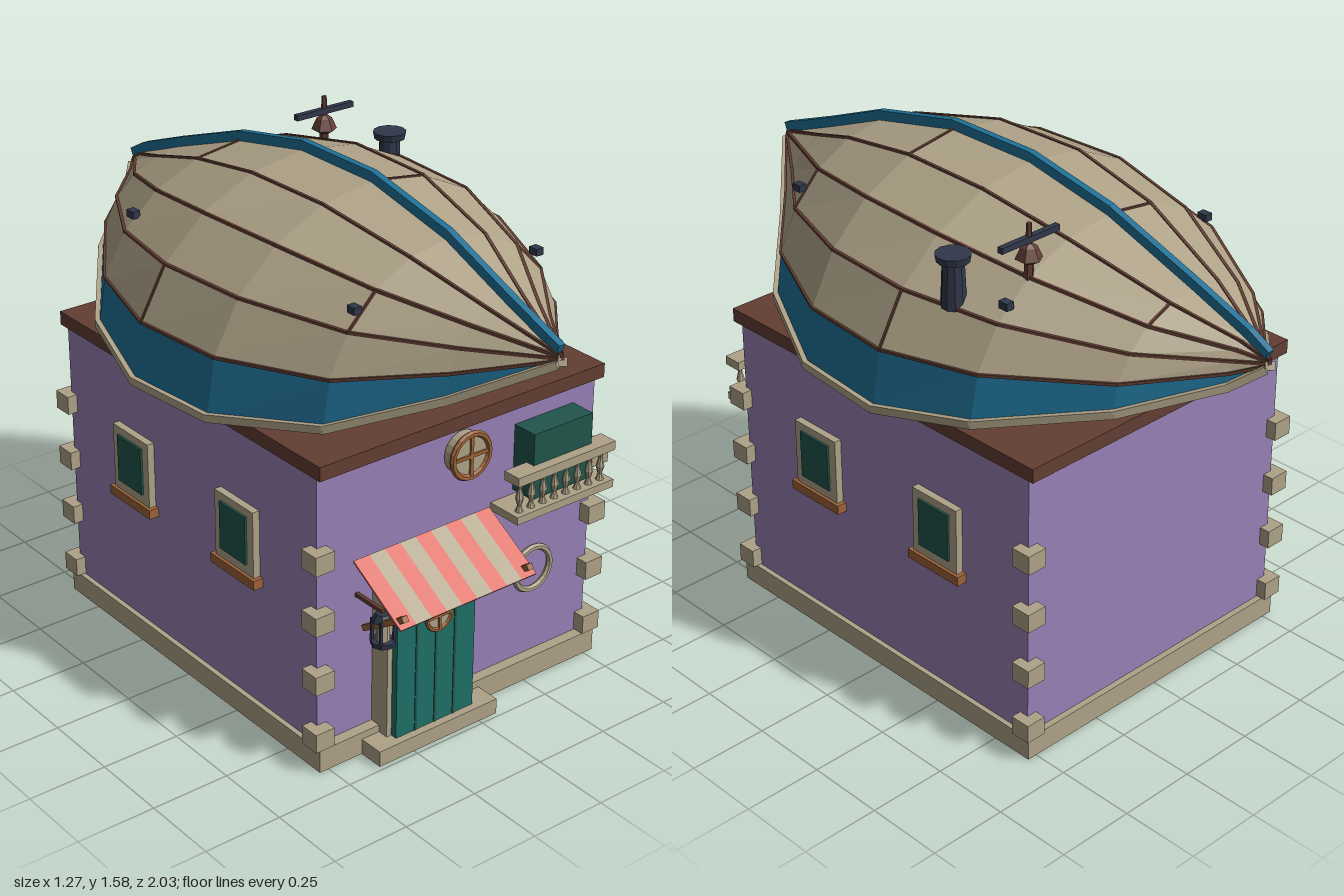
import * as THREE from 'three';

const mat = (name, color) => new THREE.MeshStandardMaterial({ name, color, flatShading: true });

export function createModel() {
  const root = new THREE.Group();
  const M = {
    purple: mat('purple plaster', 0x9880b6),
    stone: mat('pale stone and planks', 0xafa388),
    blue: mat('blue paint', 0x1f7096),
    teal: mat('teal door', 0x1f7068),
    glass: mat('dark teal glass', 0x20554b),
    brown: mat('dark brown wood', 0x633e33),
    wood: mat('orange wood', 0x9c6238),
    red: mat('awning red', 0xdb6a5f),
    iron: mat('dark iron', 0x30374a),
  };
  const add = (name, geo, m, x = 0, y = 0, z = 0) => {
    const mesh = new THREE.Mesh(geo, m);
    mesh.name = name;
    mesh.position.set(x, y, z);
    root.add(mesh);
    return mesh;
  };
  // Box given by its limits on each axis
  const box = (name, m, x0, x1, y0, y1, z0, z1) =>
    add(name, new THREE.BoxGeometry(x1 - x0, y1 - y0, z1 - z0), m, (x0 + x1) / 2, (y0 + y1) / 2, (z0 + z1) / 2);
  // Straight bar between two points
  const bar = (name, m, p, q, w, h, extra = 0) => {
    const a = new THREE.Vector3(...p), b = new THREE.Vector3(...q);
    const mesh = add(name, new THREE.BoxGeometry(w, h, a.distanceTo(b) + extra), m);
    mesh.position.copy(a).add(b).multiplyScalar(0.5);
    mesh.lookAt(b);
    return mesh;
  };
  const disc = (name, m, r, x, y, z0, z1) =>
    add(name, new THREE.CylinderGeometry(r, r, z1 - z0, 20).rotateX(Math.PI / 2), m, x, y, (z0 + z1) / 2);

  // House body
  box('walls', M.purple, -0.517, 0.517, 0, 0.94, -0.62, 0.62);
  box('plinth', M.stone, -0.533, 0.533, 0.002, 0.075, -0.64, 0.655);
  box('doorStep', M.stone, -0.38, 0.065, 0.002, 0.052, 0.6, 0.737);
  box('roofSlab', M.brown, -0.527, 0.527, 0.938, 0.982, -0.645, 0.648);
  for (const x of [-0.517, 0.517]) for (const z of [-0.622, 0.627]) for (const y of [0.108, 0.3, 0.492, 0.686])
    box('cornerStone', M.stone, x - 0.033, x + 0.033, y - 0.03, y + 0.03, z - 0.033, z + 0.033);

  // Side windows
  for (const s of [-1, 1]) for (const z of [0.265, -0.26]) {
    const side = (name, m, a, b, y0, y1, hw) =>
      box(name, m, Math.min(s * a, s * b), Math.max(s * a, s * b), y0, y1, z - hw, z + hw);
    side('windowFrame', M.stone, 0.51, 0.54, 0.5, 0.72, 0.092);
    side('windowPane', M.glass, 0.53, 0.547, 0.54, 0.695, 0.062);
    side('windowSill', M.wood, 0.51, 0.55, 0.477, 0.507, 0.106);
  }

  // Round window with cross bars
  const porthole = (x, y, r, z) => {
    disc('roundPane', M.stone, r * 0.85, x, y, z - 0.04, z);
    add('roundFrame', new THREE.TorusGeometry(r * 0.88, r * 0.13, 6, 20), M.wood, x, y, z);
    box('roundBarUpright', M.wood, x - r * 0.07, x + r * 0.07, y - r * 0.85, y + r * 0.85, z, z + 0.006);
    box('roundBarLevel', M.wood, x - r * 0.85, x + r * 0.85, y - r * 0.07, y + r * 0.07, z, z + 0.006);
  };
  porthole(0, 0.855, 0.077, 0.664);

  // Door
  box('doorFrame', M.stone, -0.317, 0.01, 0.05, 0.6, 0.615, 0.69);
  box('door', M.teal, -0.3, -0.01, 0.052, 0.59, 0.66, 0.712);
  for (const x of [-0.228, -0.156, -0.085])
    box('doorGroove', M.glass, x - 0.004, x + 0.004, 0.052, 0.59, 0.711, 0.714);
  porthole(-0.155, 0.417, 0.052, 0.722);

  // Striped awning and its struts
  for (let i = 0; i < 9; i++) {
    const x = -0.404 + (i + 0.5) * 0.0556;
    bar('awningStripe', i % 2 ? M.stone : M.red, [x, 0.645, 0.64], [x, 0.52, 0.848], 0.0556, 0.006);
  }
  for (const x of [-0.385, 0.075])
    bar('awningStrut', M.wood, [x, 0.55, 0.845], [x, 0.44, 0.67], 0.02, 0.018);

  // Hanging lantern
  const lx = -0.375, lz = 0.738;
  add('lanternBase', new THREE.CylinderGeometry(0.036, 0.036, 0.014, 8), M.iron, lx, 0.422, lz);
  add('lanternLight', new THREE.CylinderGeometry(0.018, 0.02, 0.06, 8), M.stone, lx, 0.455, lz);
  add('lanternCap', new THREE.CylinderGeometry(0.022, 0.036, 0.022, 8), M.iron, lx, 0.505, lz);
  for (const dx of [-1, 1]) for (const dz of [-1, 1])
    box('lanternPost', M.iron, lx + dx * 0.024 - 0.004, lx + dx * 0.024 + 0.004, 0.425, 0.5,
      lz + dz * 0.02 - 0.004, lz + dz * 0.02 + 0.004);
  bar('lanternBracket', M.brown, [lx, 0.52, 0.62], [lx, 0.52, lz], 0.012, 0.012);

  // Balcony with turned balusters
  box('balconyPane', M.glass, 0.205, 0.433, 0.66, 0.872, 0.615, 0.705);
  box('balconyFloor', M.stone, 0.12, 0.5, 0.62, 0.645, 0.615, 0.737);
  box('balconyRail', M.stone, 0.12, 0.5, 0.743, 0.772, 0.675, 0.737);
  const turned = [[0.013, 0], [0.006, 0.02], [0.013, 0.045], [0.006, 0.075], [0.013, 0.1]]
    .map(p => new THREE.Vector2(...p));
  for (let i = 0; i < 8; i++)
    add('baluster', new THREE.LatheGeometry(turned, 8), M.stone, 0.15 + i * 0.0455, 0.644, 0.71);

  // Life ring
  add('lifeRing', new THREE.TorusGeometry(0.07, 0.01, 6, 24), M.stone, 0.288, 0.37, 0.63);

  // Upturned hull: stations [z, half width, keel height, rim height], sections are half ellipses
  const stations = [
    [-1, 0.012, 1.262, 1.235], [-0.93, 0.08, 1.3, 1.18], [-0.73, 0.31, 1.375, 1.105],
    [-0.41, 0.535, 1.487, 1.03], [-0.1, 0.62, 1.547, 0.985], [0.22, 0.592, 1.547, 0.985],
    [0.545, 0.435, 1.477, 1.03], [0.785, 0.205, 1.38, 1.14], [1, 0.012, 1.298, 1.27],
  ];
  const last = stations.length - 1;
  const P = (i, j, shrink = 0) => {
    const [z, w, k, g] = stations[i], a = j * Math.PI / 10;
    return [Math.max(w - shrink, 0.004) * Math.sin(a), g + Math.max(k - g - shrink, 0.01) * Math.cos(a), z];
  };
  const shell = (name, m, bands, shrink, inside) => {
    const pos = [];
    for (const j of bands) for (let i = 0; i < last; i++) {
      const a = P(i, j, shrink), b = P(i + 1, j, shrink), c = P(i + 1, j + 1, shrink), d = P(i, j + 1, shrink);
      const quad = inside ? [a, c, b, a, d, c] : [a, b, c, a, c, d];
      pos.push(...quad.flat());
    }
    const geo = new THREE.BufferGeometry();
    geo.setAttribute('position', new THREE.Float32BufferAttribute(pos, 3));
    geo.computeVertexNormals();
    add(name, geo, m);
  };
  shell('hullPlanks', M.stone, [-4, -3, -2, -1, 0, 1, 2, 3], 0, false);
  shell('hullPaintedBand', M.blue, [-5, 4], 0, false);
  shell('hullInside', M.brown, [-5, -4, -3, -2, -1, 0, 1, 2, 3, 4], 0.018, true);
  for (let i = 0; i < last; i++) {
    for (const j of [-4, -3, -2, -1, 1, 2, 3, 4])
      bar('plankSeam', M.brown, P(i, j), P(i + 1, j), 0.009, 0.009);
    for (const j of [-5, 5]) bar('rim', M.stone, P(i, j), P(i + 1, j), 0.026, 0.024, 0.006);
    const a = P(i, 0), b = P(i + 1, 0);
    a[1] += 0.012; b[1] += 0.012;
    bar('keel', M.blue, a, b, 0.022, 0.034, 0.004);
  }
  for (const [i, j] of [[5, 0], [3, -1], [4, -4], [4, 3], [6, -3], [6, 2], [2, 1]])
    bar('plankJoint', M.brown, P(i, j), P(i, j + 1), 0.008, 0.007);

  // Small plate closing the stern
  const stern = new THREE.Shape();
  stern.absellipse(0, 0, 0.075, 0.11, 0, Math.PI, false);
  add('sternPlate', new THREE.ExtrudeGeometry(stern, { depth: 0.02, bevelEnabled: false, curveSegments: 8 }),
    M.stone, 0, 1.175, -0.93);

  // Cleats on the hull
  for (const s of [-1, 1]) {
    box('cleat', M.iron, s * 0.33 - 0.013, s * 0.33 + 0.013, 1.345, 1.367, 0.53, 0.562);
    box('cleat', M.iron, s * 0.4 - 0.013, s * 0.4 + 0.013, 1.335, 1.358, -0.427, -0.393);
  }

  // Chimney
  add('chimneyPipe', new THREE.CylinderGeometry(0.032, 0.038, 0.14, 10), M.iron, 0.445, 1.37, -0.25);
  add('chimneyCap', new THREE.CylinderGeometry(0.052, 0.048, 0.022, 12), M.iron, 0.445, 1.45, -0.25);

  // Weather vane
  const vane = [[0.014, 1.38], [0.014, 1.44], [0.04, 1.455], [0.024, 1.49], [0.01, 1.5], [0.008, 1.56], [0, 1.56]]
    .map(p => new THREE.Vector2(...p));
  add('vanePost', new THREE.LatheGeometry(vane, 6), M.brown, 0.31, 0, -0.405);
  box('vaneBar', M.iron, 0.2, 0.418, 1.504, 1.522, -0.414, -0.396);

  return root;
}
